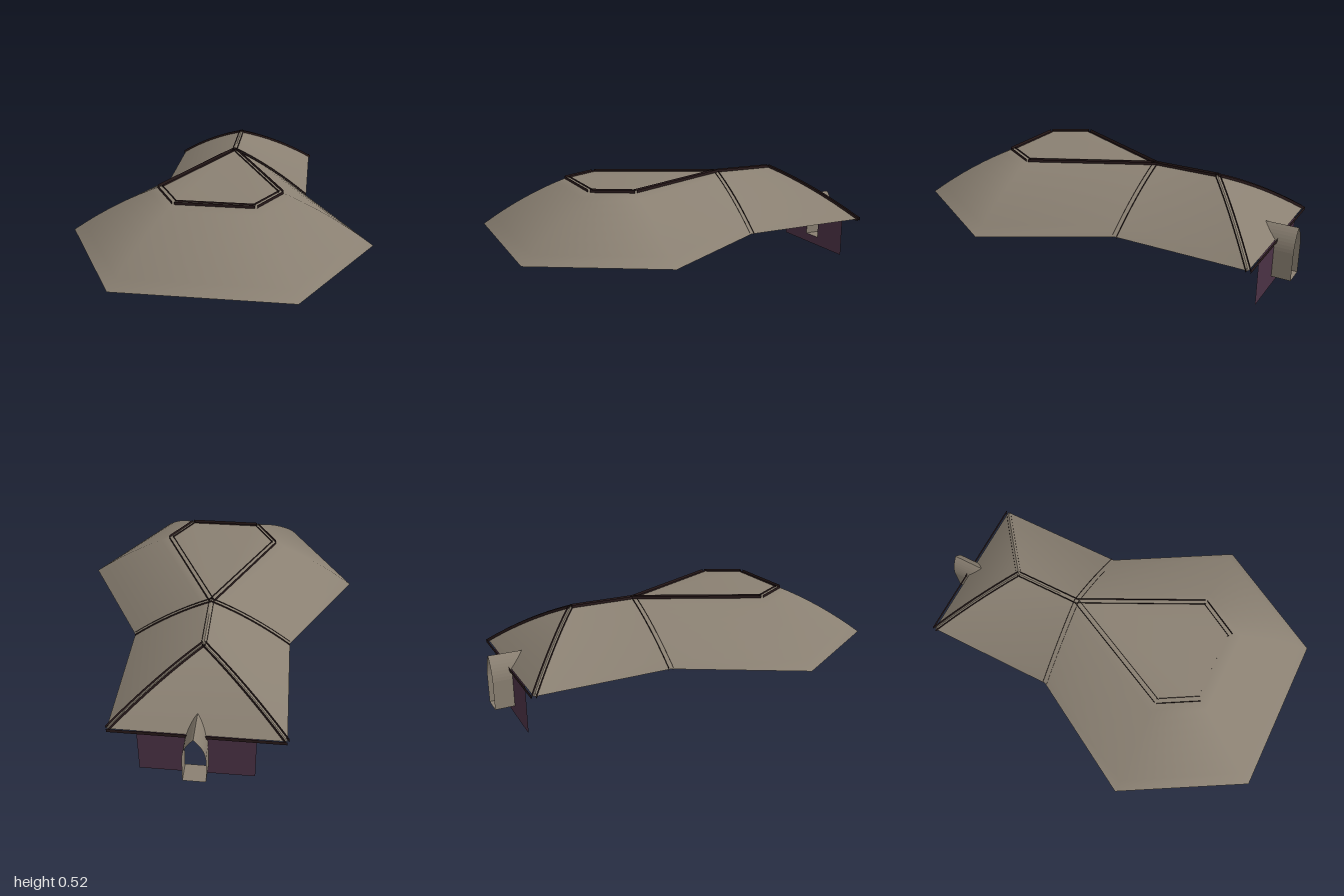
import * as THREE from 'three';

const EAVE = 0.25, RISE = 0.26, STEPS = 8;

// Gently bowed roof line from an eave point to a crown point, each [x, z]
function slope(low, high) {
  return Array.from({ length: STEPS + 1 }, (_, i) => {
    const t = i / STEPS;
    return new THREE.Vector3(
      low[0] + (high[0] - low[0]) * t,
      EAVE + RISE * (t + 0.3 * t * (1 - t)),
      low[1] + (high[1] - low[1]) * t);
  });
}

// Surface lofted across a list of equally long point rows
function loft(rows, cap = []) {
  const n = rows[0].length, index = [];
  for (let i = 0; i < rows.length - 1; i++) {
    for (let j = 0; j < n - 1; j++) {
      const a = i * n + j, b = a + n;
      index.push(b, a, a + 1, b, a + 1, b + 1);
    }
  }
  const last = (i) => i * n + n - 1;
  for (const [i, j, k] of cap) index.push(last(i), last(j), last(k));
  const geo = new THREE.BufferGeometry().setFromPoints(rows.flat());
  geo.setIndex(index);
  geo.computeVertexNormals();
  return geo;
}

export function createModel() {
  const model = new THREE.Group();
  const material = (name, color) => {
    const m = new THREE.MeshStandardMaterial({ color, side: THREE.DoubleSide });
    m.name = name;
    return m;
  };
  const canvas = material('taupe canvas', 0x8a8072);
  const plum = material('plum wall', 0x4a3144);
  const dark = material('dark trim', 0x261819);

  const add = (name, geo, mat) => {
    const mesh = new THREE.Mesh(geo, mat);
    mesh.name = name;
    model.add(mesh);
  };

  // Main roof: eave and crown corners of one half, mirrored for the other
  const half = [
    [[0.415, -0.9], [0, -0.56]],
    [[0.415, -0.2], [0, -0.21]],
    [[0.76, 0.4], [0.3, 0.4]],
    [[0.415, 1], [0.19, 0.59]],
  ];
  const flip = ([x, z]) => [-x, z];
  const corners = [...half, ...half.map((c) => c.map(flip)).reverse()];
  const rows = corners.map(([low, high]) => slope(low, high));
  add('mainRoof', loft(rows, [[1, 3, 2], [1, 4, 3], [1, 5, 4]]), canvas);

  // Triangular back roof panel
  add('backRoofPanel', loft([rows[7], rows[0]]), canvas);

  // Trim: a pair of narrow upright strips along each seam
  function trim(name, points) {
    const dir = points[points.length - 1].clone().sub(points[0]).setY(0).normalize();
    for (const side of [-0.012, 0.012]) {
      const shift = (dy) => points.map((p) =>
        new THREE.Vector3(p.x - dir.z * side, p.y + dy, p.z + dir.x * side));
      add(name, loft([shift(-0.01), shift(0.009)]), dark);
    }
  }
  const crown = (i) => rows[i][STEPS];
  for (let i = 1; i < 6; i++) trim('crownTrim', [crown(i), crown(i + 1)].filter((p, k, a) => k === 0 || p !== a[0]));
  trim('ridgeTrim', [crown(1), crown(0)]);
  for (const i of [0, 7]) trim('hipTrim', rows[i]);
  for (const i of [1, 6]) trim('valleyTrim', rows[i]);
  trim('eaveTrim', [rows[0][0], rows[7][0]]);

  // Back wall with a doorway
  const wall = new THREE.Shape([
    [-0.277, 0], [0.277, 0], [0.277, EAVE], [0.044, EAVE], [0.055, 0.2], [0.055, 0.05],
    [-0.055, 0.05], [-0.055, 0.2], [-0.044, EAVE], [-0.277, EAVE],
  ].map(([x, y]) => new THREE.Vector2(x, y)));
  add('backWall', new THREE.ShapeGeometry(wall).translate(0, 0, -0.9), plum);

  // Pointed-arch entrance tunnel, its inner end meeting the roof slope
  const arch = new THREE.Shape();
  arch.moveTo(-0.055, 0.05);
  arch.lineTo(0.055, 0.05);
  arch.lineTo(0.055, 0.2);
  arch.quadraticCurveTo(0.05, 0.27, 0, 0.32);
  arch.quadraticCurveTo(-0.05, 0.27, -0.055, 0.2);
  arch.lineTo(-0.055, 0.05);
  const outline = arch.getPoints(8);
  for (let i = 0; i < outline.length - 1; i++) {
    const pair = [outline[i], outline[i + 1]].map(({ x, y }) => [
      new THREE.Vector3(x, y, -1),
      new THREE.Vector3(x, y, -0.9 + Math.max(0, y - EAVE)),
    ]);
    add('entranceTunnel', loft([pair[1], pair[0]]), canvas);
  }
  return model;
}
